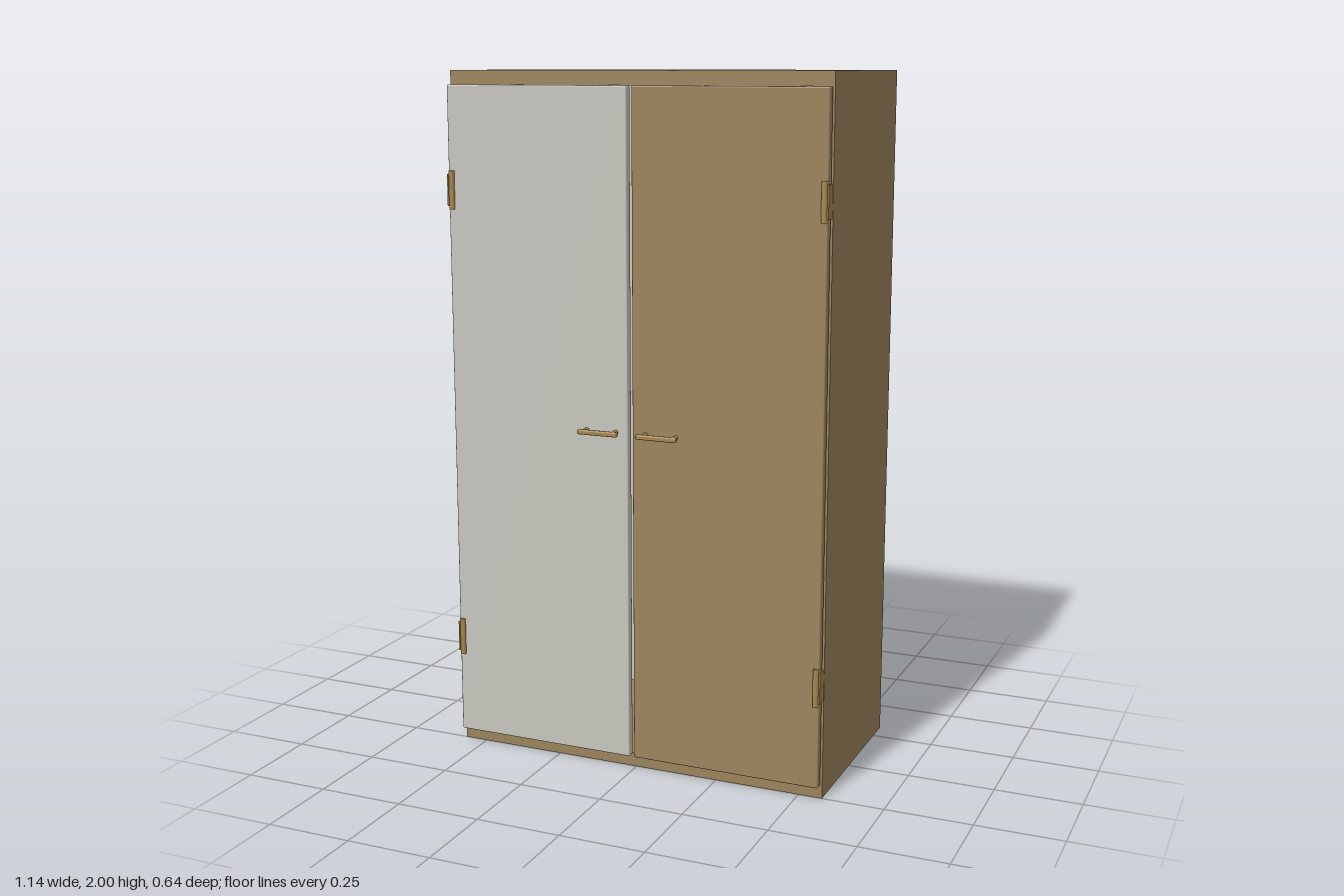
import * as THREE from 'three';
import { RoundedBoxGeometry } from 'three/addons/geometries/RoundedBoxGeometry.js';

const material = (name, color) => new THREE.MeshStandardMaterial({ name, color });

export function createModel() {
  const wood = material('wood', 0x9c835c);
  const panel = material('light grey panel', 0xc7c6be);
  const brass = material('brass', 0xa5854f);

  const model = new THREE.Group();
  model.name = 'cabinet';

  const add = (parent, name, geometry, mat, x, y, z) => {
    const mesh = new THREE.Mesh(geometry, mat);
    mesh.name = name;
    mesh.position.set(x, y, z);
    parent.add(mesh);
    return mesh;
  };
  // box given by its minimum and maximum corners
  const box = (parent, name, mat, [x0, y0, z0], [x1, y1, z1]) =>
    add(parent, name, new THREE.BoxGeometry(x1 - x0, y1 - y0, z1 - z0), mat,
      (x0 + x1) / 2, (y0 + y1) / 2, (z0 + z1) / 2);

  // hollow carcass
  const W = 0.57, back = -0.32, front = 0.25, side = 0.018, cap = 0.04;
  box(model, 'topBoard', wood, [-W, 2 - cap, back], [W, 2, front]);
  box(model, 'bottomBoard', wood, [-W, 0, back], [W, cap, front]);
  box(model, 'leftSide', wood, [W - side, cap, back], [W, 2 - cap, front]);
  box(model, 'rightSide', wood, [-W, cap, back], [-W + side, 2 - cap, front]);
  box(model, 'backPanel', panel, [-W + side, cap, back], [W - side, 2 - cap, back + 0.015]);

  // doors with softened edges
  const door = (name, mat, x0, x1) =>
    add(model, name, new RoundedBoxGeometry(x1 - x0, 1.92, 0.026, 2, 0.004), mat,
      (x0 + x1) / 2, 1, 0.267);
  door('rightDoor', panel, -0.566, -0.01);
  door('leftDoor', wood, 0.005, 0.566);

  for (const s of [-1, 1]) {
    const label = s > 0 ? 'left' : 'right';

    // bar handle on two posts
    const handle = new THREE.Group();
    handle.name = label + 'Handle';
    model.add(handle);
    const bar = add(handle, 'handleBar', new RoundedBoxGeometry(0.122, 0.014, 0.014, 2, 0.004),
      brass, s * 0.09, 1.003, 0.31);
    bar.castShadow = false;
    for (const x of [0.046, 0.136]) {
      const post = add(handle, 'handlePost', new THREE.CylinderGeometry(0.007, 0.007, 0.027, 16),
        brass, s * x, 1.003, 0.2925);
      post.rotation.x = Math.PI / 2;
    }

    // hinges: knuckle, leaf behind the door and leaf round its edge
    for (const y of [0.335, 1.665]) {
      const hinge = new THREE.Group();
      hinge.name = label + 'Hinge';
      model.add(hinge);
      add(hinge, 'hingeKnuckle', new THREE.CylinderGeometry(0.009, 0.009, 0.11, 16),
        brass, s * 0.556, y, 0.279);
      add(hinge, 'hingeFrameLeaf', new THREE.BoxGeometry(0.034, 0.09, 0.004),
        brass, s * 0.552, y, 0.252);
      add(hinge, 'hingeEdgeLeaf', new THREE.BoxGeometry(0.004, 0.09, 0.034),
        brass, s * 0.567, y, 0.267);
    }
  }
  return model;
}
